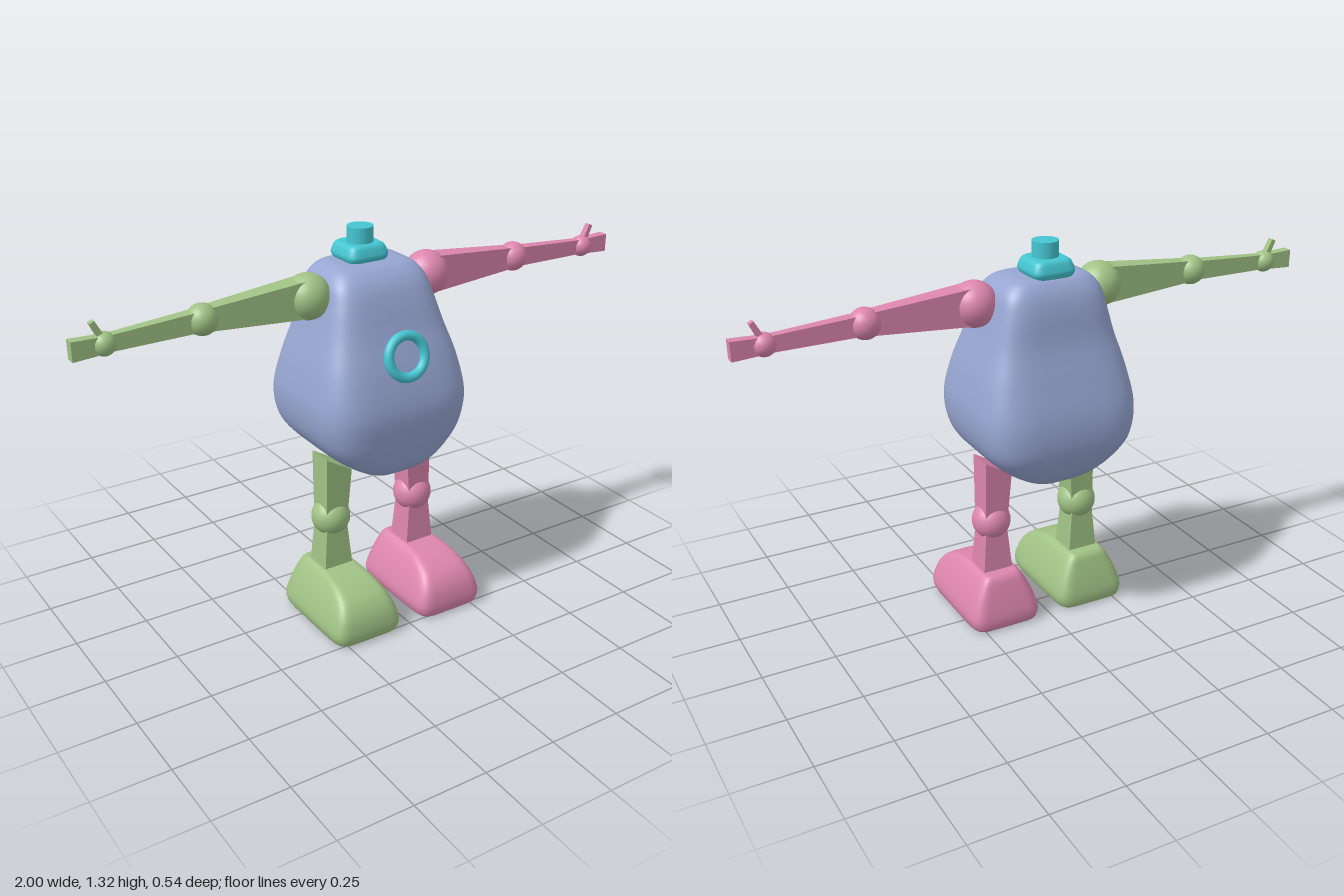
import * as THREE from 'three';

const mat = (name, color) => {
  const m = new THREE.MeshStandardMaterial({ color });
  m.name = name;
  return m;
};

function add(parent, name, geometry, material, x = 0, y = 0, z = 0) {
  const mesh = new THREE.Mesh(geometry, material);
  mesh.name = name;
  mesh.position.set(x, y, z);
  parent.add(mesh);
  return mesh;
}

// Smooth closed loft of superelliptic sections [y, half width, front z, back z], bottom to top
function loft(sections, power, rows, cols = 40) {
  const outline = new THREE.SplineCurve(sections.map(s => new THREE.Vector2(s[0], s[1])));
  const depth = new THREE.SplineCurve(sections.map(s => new THREE.Vector2(s[2], s[3])));
  const round = v => Math.sign(v) * Math.pow(Math.abs(v), 2 / power);
  const pos = [], index = [];
  for (let r = 0; r <= rows; r++) {
    const { x: y, y: hw } = outline.getPoint(r / rows);
    const { x: zf, y: zb } = depth.getPoint(r / rows);
    for (let c = 0; c < cols; c++) {
      const a = (c / cols) * Math.PI * 2;
      pos.push(hw * round(Math.cos(a)), y, (zf + zb) / 2 + (zf - zb) / 2 * round(Math.sin(a)));
    }
  }
  for (let r = 0; r < rows; r++) {
    for (let c = 0; c < cols; c++) {
      const a = r * cols + c, b = r * cols + (c + 1) % cols;
      index.push(a, a + cols, b, b, a + cols, b + cols);
    }
  }
  // Caps at both ends
  const first = sections[0], last = sections[sections.length - 1];
  const base = (rows + 1) * cols, top = rows * cols;
  pos.push(0, first[0], (first[2] + first[3]) / 2, 0, last[0], (last[2] + last[3]) / 2);
  for (let c = 0; c < cols; c++) {
    const d = (c + 1) % cols;
    index.push(base, c, d, base + 1, top + d, top + c);
  }
  const g = new THREE.BufferGeometry();
  g.setAttribute('position', new THREE.Float32BufferAttribute(pos, 3));
  g.setIndex(index);
  g.computeVertexNormals();
  return g;
}

// Box standing on y = 0 that tapers from w0 x d0 to w1 x d1; slope tilts its top along x
function taperBox(length, w0, d0, w1, d1, slope = 0) {
  const g = new THREE.BoxGeometry(1, 1, 1);
  const p = g.attributes.position;
  for (let i = 0; i < p.count; i++) {
    const up = p.getY(i) > 0, x = p.getX(i) * (up ? w1 : w0);
    p.setXYZ(i, x, up ? length + slope * x : 0, p.getZ(i) * (up ? d1 : d0));
  }
  g.computeVertexNormals();
  return g;
}

// Tapered strut between two points in the xy plane
function strut(parent, name, material, a, b, z, w0, d0, w1, d1) {
  const dx = b[0] - a[0], dy = b[1] - a[1];
  const mesh = add(parent, name, taperBox(Math.hypot(dx, dy), w0, d0, w1, d1), material, a[0], a[1], z);
  mesh.rotation.z = Math.atan2(dy, dx) - Math.PI / 2;
}

const ball = r => new THREE.SphereGeometry(r, 28, 20);

function buildArm(s, material) {
  const arm = new THREE.Group();
  arm.name = s > 0 ? 'leftArm' : 'rightArm';
  const z = -0.01;
  const shoulder = [s * 0.225, 1.14], elbow = [s * 0.587, 1.135], wrist = [s * 0.897, 1.122];
  add(arm, 'shoulder', ball(0.075), material, ...shoulder, z);
  add(arm, 'elbow', ball(0.05), material, ...elbow, z);
  add(arm, 'wrist', ball(0.037), material, ...wrist, z);
  strut(arm, 'upperArm', material, shoulder, elbow, z, 0.125, 0.075, 0.07, 0.045);
  strut(arm, 'forearm', material, elbow, wrist, z, 0.065, 0.045, 0.05, 0.028);
  strut(arm, 'hand', material, wrist, [s, 1.121], z, 0.052, 0.032, 0.062, 0.034);
  strut(arm, 'thumb', material, [s * 0.9, 1.135], [s * 0.93, 1.195], z, 0.02, 0.024, 0.016, 0.02);
  return arm;
}

function buildLeg(s, material) {
  const leg = new THREE.Group();
  leg.name = s > 0 ? 'leftLeg' : 'rightLeg';
  const x = s * 0.166, z = 0.013;
  // Thigh top follows the curved underside of the body
  const thigh = add(leg, 'thigh', taperBox(0.205, 0.08, 0.085, 0.096, 0.095, s * 0.54), material, x, 0.36, z);
  thigh.rotation.z = s * 0.04;
  add(leg, 'knee', ball(0.066), material, x, 0.36, z);
  add(leg, 'shin', taperBox(0.2, 0.11, 0.102, 0.074, 0.08), material, x, 0.16, z);
  const foot = loft([
    [0.0, 0.11, 0.256, -0.105],
    [0.01, 0.122, 0.268, -0.117],
    [0.045, 0.13, 0.273, -0.12],
    [0.1, 0.114, 0.26, -0.108],
    [0.145, 0.093, 0.225, -0.095],
    [0.175, 0.074, 0.163, -0.084],
    [0.188, 0.058, 0.09, -0.07],
  ], 7, 24);
  add(leg, 'foot', foot, material, x, 0, 0);
  return leg;
}

export function createModel() {
  const blue = mat('body blue', 0x97a6d2);
  const cyan = mat('trim cyan', 0x45c6d2);
  const pink = mat('left limb pink', 0xdc86ad);
  const green = mat('right limb green', 0xa0c285);

  const model = new THREE.Group();
  model.name = 'roundRobot';

  // Pear-shaped body, keel-like underneath
  const body = loft([
    [0.525, 0.015, 0.115, -0.115],
    [0.54, 0.08, 0.165, -0.165],
    [0.575, 0.15, 0.205, -0.21],
    [0.625, 0.215, 0.22, -0.24],
    [0.69, 0.258, 0.233, -0.263],
    [0.79, 0.273, 0.238, -0.26],
    [0.91, 0.252, 0.208, -0.227],
    [1.02, 0.218, 0.166, -0.194],
    [1.12, 0.19, 0.132, -0.177],
    [1.175, 0.172, 0.104, -0.16],
    [1.21, 0.142, 0.066, -0.135],
    [1.221, 0.105, 0.03, -0.115],
  ], 4.5, 55, 56);
  add(model, 'body', body, blue);

  // Cap on the head: rounded slab and round knob
  const slab = loft([
    [1.217, 0.068, 0.015, -0.125],
    [1.232, 0.075, 0.021, -0.131],
    [1.245, 0.074, 0.019, -0.129],
    [1.265, 0.066, 0.011, -0.121],
    [1.273, 0.056, 0.001, -0.111],
  ], 5, 16);
  add(model, 'capSlab', slab, cyan, -0.005);
  add(model, 'capKnob', new THREE.CylinderGeometry(0.043, 0.043, 0.065, 32), cyan, -0.005, 1.292, -0.05);

  // Ring on the chest, leaning with its slope
  const ring = add(model, 'chestRing', new THREE.TorusGeometry(0.067, 0.0165, 14, 40), cyan, 0, 0.964, 0.213);
  ring.rotation.x = -0.24;

  for (const [s, material] of [[1, pink], [-1, green]]) {
    model.add(buildArm(s, material), buildLeg(s, material));
  }
  return model;
}
